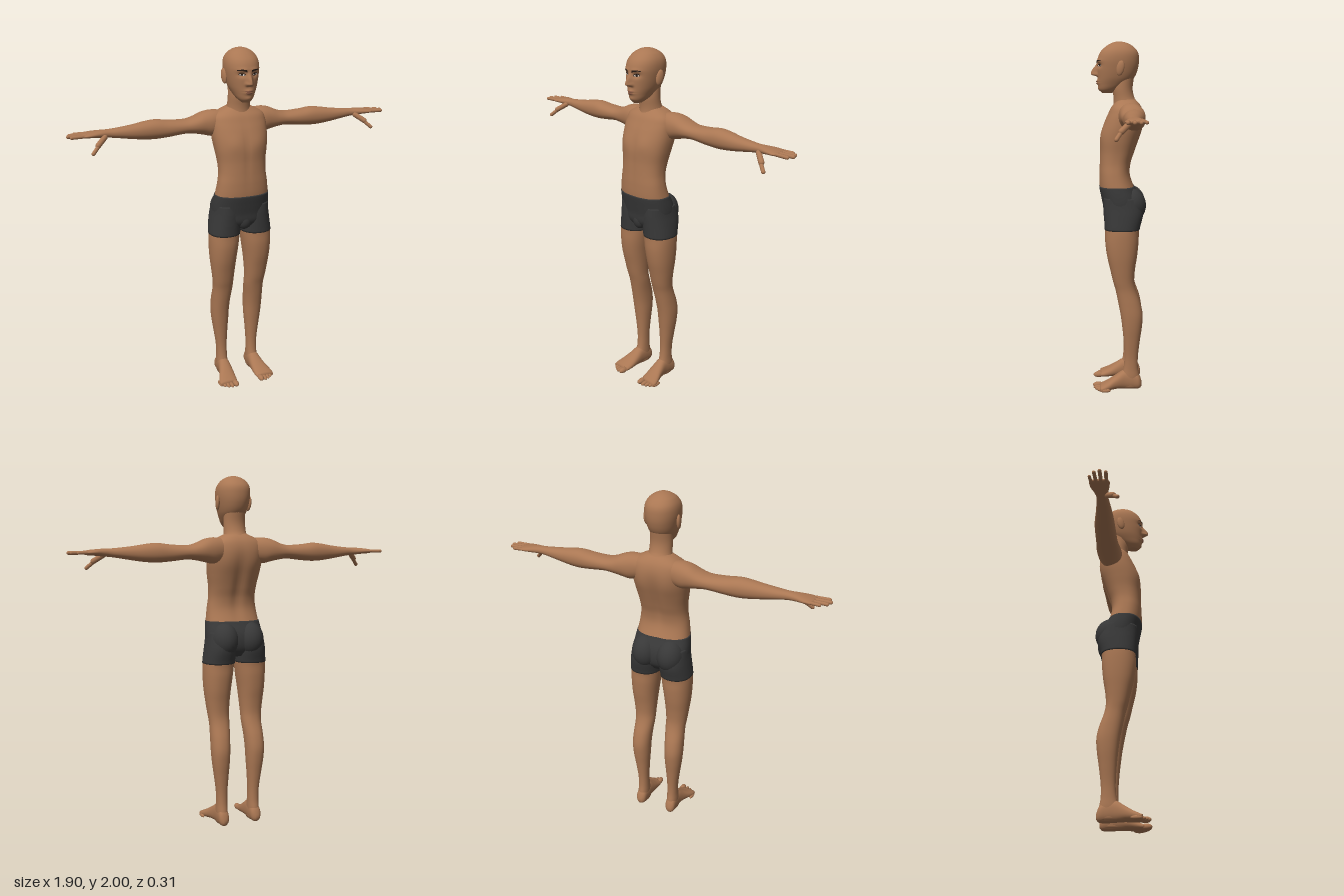
import * as THREE from 'three';

const mat = (name, hex) => new THREE.MeshStandardMaterial({ name, color: hex });
const smooth = THREE.MathUtils.smoothstep;
const bell = (a, b = 0) => Math.exp(-a * a - b * b);

// Stations are [position, uMin, uMax, wMin, wMax]; smooth interpolation between them.
function sample(st, t) {
  let i = 0;
  while (i < st.length - 2 && t > st[i + 1][0]) i++;
  const a = st[i], b = st[i + 1], h = b[0] - a[0], s = (t - a[0]) / h;
  const before = st[Math.max(i - 1, 0)], after = st[Math.min(i + 2, st.length - 1)];
  return [1, 2, 3, 4].map((k) => {
    const m0 = ((b[k] - before[k]) / (b[0] - before[0])) * h;
    const m1 = ((after[k] - a[k]) / (after[0] - a[0])) * h;
    const s2 = s * s, s3 = s2 * s;
    return (2 * s3 - 3 * s2 + 1) * a[k] + (s3 - 2 * s2 + s) * m0 + (3 * s2 - 2 * s3) * b[k] + (s3 - s2) * m1;
  });
}

// Closed skin of superellipse rings along one axis (y: u=x w=z, x: u=y w=z, z: u=x w=y).
function loft(axis, st, { from = st[0][0], to = st[st.length - 1][0], rows = 40, segs = 36, pow = 2.2, grow = 0, rule } = {}) {
  const pos = [], idx = [];
  const put = (t, u, w) => {
    const v = axis === 'y' ? new THREE.Vector3(u, t, w) : axis === 'x' ? new THREE.Vector3(t, u, w) : new THREE.Vector3(u, w, t);
    if (rule) rule(v);
    pos.push(v.x, v.y, v.z);
  };
  const tri = (a, b, c) => (axis === 'y' ? idx.push(a, c, b) : idx.push(a, b, c));
  const bend = (c) => Math.sign(c) * Math.pow(Math.abs(c), 2 / pow);
  for (let j = 0; j <= rows; j++) {
    const t = from + ((to - from) * j) / rows;
    const [u0, u1, w0, w1] = sample(st, t);
    for (let i = 0; i < segs; i++) {
      const a = (i / segs) * Math.PI * 2;
      put(t, (u0 + u1) / 2 + ((u1 - u0) / 2 + grow) * bend(Math.cos(a)), (w0 + w1) / 2 + ((w1 - w0) / 2 + grow) * bend(Math.sin(a)));
    }
  }
  for (let j = 0; j < rows; j++) for (let i = 0; i < segs; i++) {
    const n = (i + 1) % segs, p = j * segs, q = p + segs;
    tri(p + i, p + n, q + n);
    tri(p + i, q + n, q + i);
  }
  for (const [t, row] of [[from, 0], [to, rows]]) {
    const [u0, u1, w0, w1] = sample(st, t), c = pos.length / 3, p = row * segs;
    put(t, (u0 + u1) / 2, (w0 + w1) / 2);
    for (let i = 0; i < segs; i++) {
      const n = (i + 1) % segs;
      row ? tri(c, p + i, p + n) : tri(c, p + n, p + i);
    }
  }
  const g = new THREE.BufferGeometry();
  g.setAttribute('position', new THREE.Float32BufferAttribute(pos, 3));
  g.setIndex(idx);
  g.computeVertexNormals();
  return g;
}

function mirrored(geo) {
  const g = geo.clone().scale(-1, 1, 1), ix = g.index;
  for (let i = 0; i < ix.count; i += 3) {
    const b = ix.getX(i + 1);
    ix.setX(i + 1, ix.getX(i + 2));
    ix.setX(i + 2, b);
  }
  return g;
}

const ball = (x, y, z, rx, ry, rz) => new THREE.SphereGeometry(1, 24, 18).scale(rx, ry, rz).translate(x, y, z);

function digit(a, b, r) {
  const p = new THREE.Vector3(...a), d = new THREE.Vector3(...b).sub(p), len = d.length();
  const g = new THREE.CapsuleGeometry(r, len - r, 6, 12, 4);
  g.applyQuaternion(new THREE.Quaternion().setFromUnitVectors(new THREE.Vector3(0, 1, 0), d.clone().normalize()));
  return g.translate(p.x + d.x / 2, p.y + d.y / 2, p.z + d.z / 2);
}

const sym = (rows) => rows.map(([y, w, z0, z1]) => [y, -w, w, z0, z1]);
const HEAD = sym([
  [1.715, 0.022, 0.04, 0.095], [1.735, 0.043, 0, 0.11], [1.765, 0.06, -0.05, 0.117], [1.8, 0.075, -0.085, 0.12],
  [1.85, 0.087, -0.106, 0.123], [1.9, 0.093, -0.112, 0.121], [1.94, 0.088, -0.106, 0.106], [1.97, 0.07, -0.082, 0.077],
  [1.987, 0.047, -0.055, 0.051], [1.996, 0.025, -0.03, 0.028], [2, 0.003, -0.003, 0.004]]);
const NECK = sym([
  [1.58, 0.09, -0.125, 0.04], [1.63, 0.08, -0.12, 0.036], [1.66, 0.07, -0.107, 0.031], [1.69, 0.064, -0.087, 0.031],
  [1.74, 0.062, -0.077, 0.036], [1.81, 0.06, -0.085, 0.03]]);
const TORSO = sym([
  [0.99, 0.09, -0.08, 0.06], [1.03, 0.15, -0.11, 0.083], [1.08, 0.163, -0.12, 0.09], [1.13, 0.163, -0.113, 0.1],
  [1.19, 0.155, -0.085, 0.111], [1.26, 0.145, -0.064, 0.113], [1.32, 0.137, -0.068, 0.111], [1.38, 0.139, -0.087, 0.109],
  [1.45, 0.15, -0.11, 0.108], [1.51, 0.158, -0.128, 0.096], [1.56, 0.16, -0.137, 0.08], [1.6, 0.158, -0.137, 0.062],
  [1.635, 0.145, -0.128, 0.045], [1.66, 0.105, -0.112, 0.025], [1.68, 0.06, -0.09, 0.01]]);
const ARM = [
  [0.08, 1.53, 1.655, -0.115, 0], [0.15, 1.515, 1.66, -0.133, 0.005], [0.2, 1.525, 1.651, -0.139, 0],
  [0.25, 1.535, 1.63, -0.138, -0.005], [0.3, 1.54, 1.618, -0.134, -0.01], [0.4, 1.53, 1.622, -0.13, -0.012],
  [0.47, 1.525, 1.63, -0.127, -0.014], [0.53, 1.528, 1.625, -0.12, -0.016], [0.6, 1.537, 1.614, -0.108, -0.02],
  [0.68, 1.55, 1.605, -0.097, -0.027], [0.73, 1.557, 1.601, -0.092, -0.032], [0.77, 1.56, 1.6, -0.1, -0.026],
  [0.81, 1.564, 1.597, -0.115, -0.017], [0.85, 1.567, 1.592, -0.119, -0.013], [0.867, 1.573, 1.587, -0.112, -0.02]];
const LEG = [
  [0.015, 0.07, 0.128, -0.12, 0], [0.08, 0.067, 0.132, -0.117, -0.012], [0.13, 0.068, 0.13, -0.109, -0.025],
  [0.2, 0.068, 0.132, -0.109, -0.03], [0.3, 0.062, 0.145, -0.12, -0.025], [0.38, 0.056, 0.156, -0.131, -0.017],
  [0.45, 0.053, 0.161, -0.135, -0.008], [0.52, 0.049, 0.16, -0.122, 0.005], [0.6, 0.042, 0.158, -0.095, 0.022],
  [0.65, 0.041, 0.163, -0.086, 0.036], [0.72, 0.036, 0.172, -0.09, 0.052], [0.8, 0.028, 0.181, -0.102, 0.07],
  [0.88, 0.017, 0.185, -0.11, 0.08], [0.95, 0.009, 0.184, -0.113, 0.08], [1.03, 0.005, 0.174, -0.132, 0.084],
  [1.08, 0.008, 0.166, -0.13, 0.086], [1.13, 0.015, 0.16, -0.11, 0.085]];
const FOOT = [
  [-0.13, 0.088, 0.114, 0.02, 0.05], [-0.118, 0.073, 0.128, 0.006, 0.085], [-0.08, 0.067, 0.132, 0.002, 0.115],
  [-0.03, 0.064, 0.136, 0.004, 0.118], [0.02, 0.061, 0.149, 0.006, 0.088], [0.06, 0.061, 0.165, 0.003, 0.062],
  [0.09, 0.063, 0.174, 0.002, 0.046], [0.112, 0.067, 0.172, 0.006, 0.036]];

// Nose, brow, eye sockets, lips and chin as a forward offset of the face.
function faceRelief(x, y) {
  const ax = Math.abs(x);
  return 0.036 * bell(x / 0.013) * smooth(1.89 - y, 0, 0.065) * smooth(y, 1.803, 1.819)
    + 0.01 * bell((ax - 0.014) / 0.008, (y - 1.818) / 0.01)
    - 0.011 * bell((ax - 0.037) / 0.02, (y - 1.868) / 0.014)
    + 0.004 * bell((ax - 0.033) / 0.03, (y - 1.892) / 0.011)
    + 0.011 * bell(x / 0.022, (y - 1.775) / 0.014)
    - 0.005 * bell(x / 0.024, (y - 1.775) / 0.003)
    + 0.006 * bell(x / 0.02, (y - 1.738) / 0.014);
}
function faceZ(x, y) {
  const [, hw, z0, z1] = sample(HEAD, y);
  return (z0 + z1) / 2 + ((z1 - z0) / 2) * Math.pow(1 - Math.pow(Math.abs(x) / hw, 2.2), 1 / 2.2) + faceRelief(x, y);
}
// Thin patch laid on the face; lift keeps layers apart.
function decal(geo, lift) {
  const p = geo.attributes.position;
  for (let i = 0; i < p.count; i++) p.setZ(i, faceZ(p.getX(i), p.getY(i)) + lift);
  geo.computeVertexNormals();
  return geo;
}
const oval = (x, y, rx, ry, lift, tilt = 0) =>
  decal(new THREE.RingGeometry(0, 1, 24, 5).scale(rx, ry, 1).rotateZ(tilt).translate(x, y, 0), lift);

// Chest, belly and spine modelling.
function torsoRelief(v) {
  const { x, y } = v;
  if (v.z > 0.03) {
    v.z += 0.006 * bell((Math.abs(x) - 0.07) / 0.05, (y - 1.49) / 0.045) - 0.004 * bell(x / 0.015, (y - 1.42) / 0.16);
  } else if (v.z < -0.03) {
    v.z += 0.014 * bell(x / 0.03, (y - 1.38) / 0.16) - 0.005 * bell((Math.abs(x) - 0.08) / 0.045, (y - 1.52) / 0.07);
  }
}

export function createModel() {
  const model = new THREE.Group();
  model.name = 'standingFigure';
  const skin = mat('skin', 0xaa7753), cloth = mat('charcoal cloth', 0x383838);
  const hair = mat('dark brown', 0x2a1d16), white = mat('eye white', 0xcfc4ba), lip = mat('lip', 0x94604a);
  const add = (name, geo, m) => {
    const mesh = new THREE.Mesh(geo, m);
    mesh.name = name;
    model.add(mesh);
  };
  const pair = (name, geo, m) => {
    add(name + 'Left', geo, m);
    add(name + 'Right', mirrored(geo), m);
  };

  // Head and face
  add('head', loft('y', HEAD, { rows: 100, segs: 112, rule: (v) => { if (v.z > 0.05) v.z += faceRelief(v.x, v.y); } }), skin);
  add('neck', loft('y', NECK, { rows: 24, pow: 2 }), skin);
  pair('ear', ball(0, 0, 0, 0.012, 0.042, 0.022).rotateX(-0.2).rotateY(-0.25).translate(0.094, 1.85, -0.006), skin);
  pair('eyelid', oval(0.037, 1.868, 0.018, 0.0075, 0.002, 0.06), hair);
  pair('eyeWhite', oval(0.037, 1.867, 0.015, 0.005, 0.003, 0.06), white);
  pair('iris', oval(0.037, 1.867, 0.0055, 0.005, 0.004), hair);
  const brow = new THREE.PlaneGeometry(0.048, 0.009, 16, 2), bp = brow.attributes.position;
  for (let i = 0; i < bp.count; i++) {
    const s = bp.getX(i) / 0.024;
    bp.setXY(i, 0.038 + bp.getX(i), 1.888 + bp.getY(i) * (0.8 - 0.45 * s) + 0.004 * (1 - s * s) + 0.002 * s);
  }
  pair('eyebrow', decal(brow, 0.0025), hair);
  add('upperLip', oval(0, 1.7795, 0.023, 0.0045, 0.0015), lip);
  add('lowerLip', oval(0, 1.769, 0.019, 0.0055, 0.0015), lip);

  // Body and shorts
  add('torso', loft('y', TORSO, { from: 1.18, rows: 60, segs: 72, pow: 2.35, rule: torsoRelief }), skin);
  add('shortsPelvis', loft('y', TORSO, { to: 1.19, rows: 24, segs: 56, pow: 2.35, grow: 0.003 }), cloth);
  pair('shortsSeat', ball(0.077, 1.085, -0.062, 0.08, 0.1, 0.09), cloth);
  add('shortsFront', ball(0, 1.035, 0.055, 0.045, 0.055, 0.036), cloth);
  pair('shortsLeg', loft('y', LEG, { from: 0.95, rows: 20, grow: 0.003 }), cloth);

  // Legs and feet
  pair('leg', loft('y', LEG, { to: 0.96, rows: 70 }), skin);
  pair('foot', loft('z', FOOT, { rows: 32 }), skin);
  [[0.083, 0.154, 0.017], [0.109, 0.151, 0.012], [0.13, 0.142, 0.011], [0.149, 0.129, 0.011], [0.166, 0.114, 0.011]]
    .forEach(([x, tip, r], i) => pair('toe' + (i + 1), ball(x, r + 0.004, tip - 0.032, r, r, 0.032), skin));

  // Arms and hands
  pair('arm', loft('x', ARM, { rows: 80 }), skin);
  [[-0.107, -0.113, 0.908, 0.0085], [-0.082, -0.087, 0.94, 0.0095], [-0.057, -0.057, 0.951, 0.01], [-0.031, -0.026, 0.938, 0.0095]]
    .forEach(([z0, z1, tip, r], i) => pair('finger' + (i + 1), digit([0.835, 1.58, z0], [tip - r / 2, 1.579, z1], r), skin));
  pair('thumbBase', digit([0.75, 1.57, -0.037], [0.805, 1.53, 0.006], 0.015), skin);
  pair('thumbTip', digit([0.79, 1.538, -0.002], [0.836, 1.495, 0.028], 0.0105), skin);
  return model;
}
